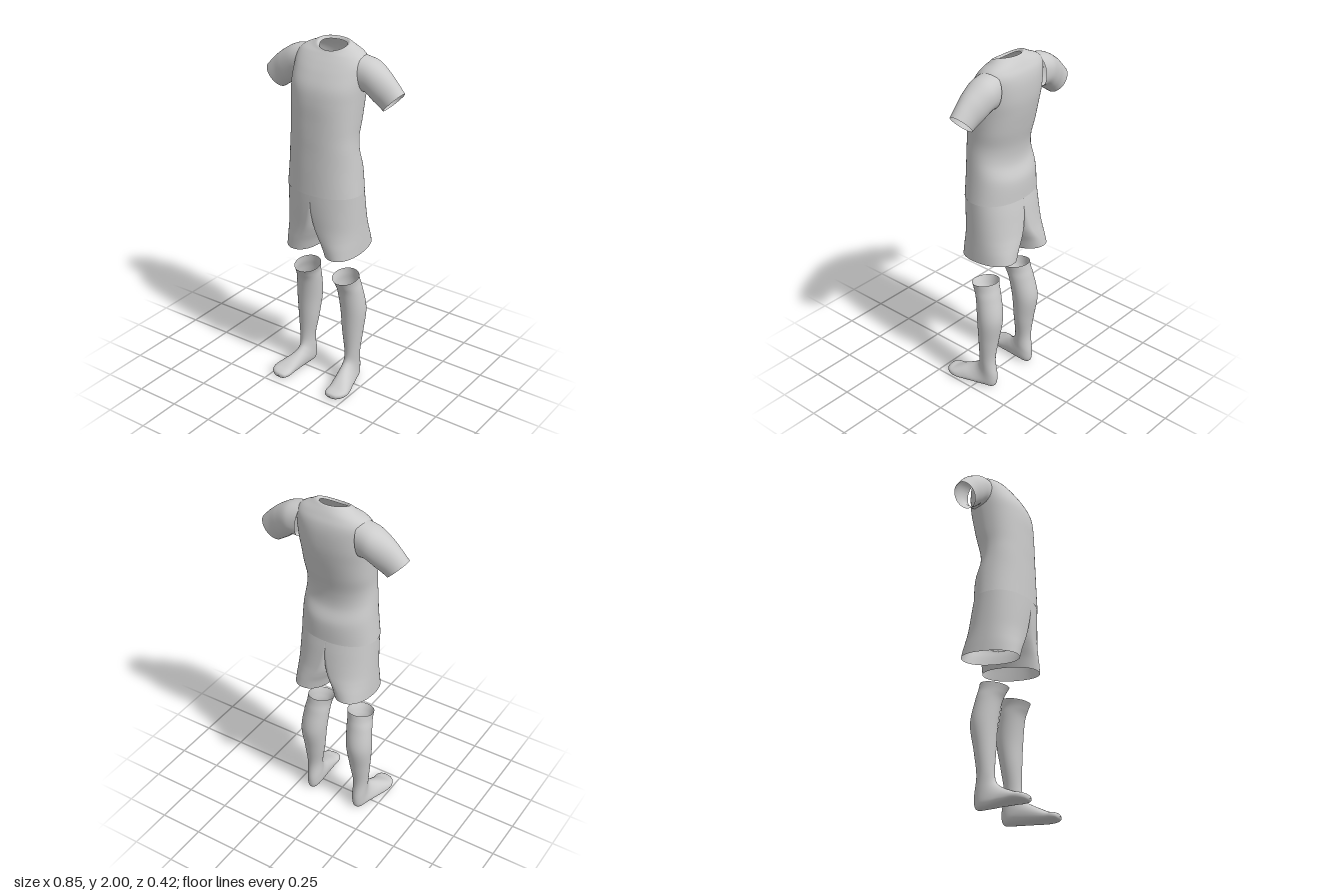
import * as THREE from 'three';

const material = new THREE.MeshStandardMaterial({ color: 0xcccccc, side: THREE.DoubleSide });

// Smooth interpolation through a list of key rows, u in 0..1
function sample(keys, u) {
  const f = u * (keys.length - 1);
  const i = Math.min(Math.floor(f), keys.length - 2);
  const t = f - i;
  const at = (k) => keys[Math.max(0, Math.min(keys.length - 1, k))];
  return keys[0].map((_, c) => {
    const a = at(i - 1)[c], b = at(i)[c], d = at(i + 1)[c], e = at(i + 2)[c];
    const m0 = (d - a) / 2, m1 = (e - b) / 2;
    return b + m0 * t + (3 * (d - b) - 2 * m0 - m1) * t * t + (2 * (b - d) + m0 + m1) * t * t * t;
  });
}

// Closed-ring surface from a point rule; faces can be left out with skip
function surface(name, rows, cols, point, skip = () => false) {
  const pts = [], index = [];
  for (let i = 0; i <= rows; i++)
    for (let j = 0; j < cols; j++) pts.push(point(i / rows, (j / cols) * Math.PI * 2));
  for (let i = 0; i < rows; i++)
    for (let j = 0; j < cols; j++) {
      const k = (j + 1) % cols;
      const a = i * cols + j, b = a + cols, c = i * cols + k, d = c + cols;
      if (!skip([pts[a], pts[b], pts[c], pts[d]])) index.push(a, b, c, b, d, c);
    }
  const geo = new THREE.BufferGeometry();
  geo.setAttribute('position', new THREE.Float32BufferAttribute(pts.flat(), 3));
  geo.setIndex(index);
  geo.computeVertexNormals();
  const mesh = new THREE.Mesh(geo, material);
  mesh.name = name;
  return mesh;
}

const power = (v, n) => Math.sign(v) * Math.abs(v) ** (2 / n);

// Ring between a point A (height, depth) and a point B, with cross centre,
// half width, roundness and a lift of its two sides
function ring([ay, ad, by, bd, centre, half, n, lift], t) {
  const s = power(Math.sin(t), n), c = power(Math.cos(t), n);
  const w = (1 + s) / 2;
  return {
    y: by + (ay - by) * w + lift * c * c,
    depth: bd + (ad - bd) * w,
    cross: centre + half * c,
  };
}

// Shirt body from hem to collar
const shirtKeys = [
  [1.195, 0.145, 1.195, -0.168, 0, 0.221, 2.2, 0],
  [1.32, 0.142, 1.31, -0.165, 0, 0.208, 2.2, 0.02],
  [1.43, 0.138, 1.40, -0.135, 0, 0.198, 2.2, 0.03],
  [1.51, 0.136, 1.49, -0.136, 0, 0.194, 2.2, 0.02],
  [1.6, 0.132, 1.6, -0.16, 0, 0.197, 2.3, 0],
  [1.7, 0.127, 1.7, -0.181, 0, 0.202, 2.3, 0],
  [1.78, 0.112, 1.78, -0.192, 0, 0.206, 2.4, 0],
  [1.85, 0.078, 1.86, -0.193, 0, 0.208, 2.4, 0],
  [1.9, 0.045, 1.915, -0.184, 0, 0.205, 2.4, 0],
  [1.935, 0.018, 1.953, -0.166, 0, 0.183, 2.3, 0],
  [1.95, 0.006, 1.982, -0.148, 0.005, 0.13, 2.1, 0.005],
  [1.957, 0, 1.999, -0.132, 0.008, 0.093, 2, 0.01],
  [1.945, -0.008, 1.985, -0.118, 0.008, 0.078, 2, 0.01],
];

// Sleeve from shoulder to cuff
const sleeveKeys = [
  [1.945, 0.165, 1.75, 0.185, -0.085, 0.083, 2.2, 0],
  [1.927, 0.25, 1.752, 0.218, -0.088, 0.084, 2.2, 0],
  [1.882, 0.325, 1.715, 0.265, -0.083, 0.074, 2.1, 0],
  [1.835, 0.38, 1.692, 0.297, -0.08, 0.064, 2, 0],
  [1.785, 0.427, 1.675, 0.322, -0.078, 0.059, 2, 0],
];

// Sock from toe tip, along the foot, up to the open top
const sockKeys = [
  [0.022, 0.211, 0.018, 0.211, 0.18, 0.003, 2, 0],
  [0.036, 0.205, 0.004, 0.2, 0.182, 0.036, 2.3, 0],
  [0.045, 0.185, 0, 0.165, 0.188, 0.056, 2.5, 0],
  [0.052, 0.155, 0, 0.11, 0.191, 0.061, 2.5, 0],
  [0.073, 0.11, 0, 0.03, 0.178, 0.054, 2.4, 0],
  [0.095, 0.065, 0, -0.05, 0.163, 0.046, 2.3, 0],
  [0.117, 0.03, 0.008, -0.1, 0.156, 0.042, 2.2, 0],
  [0.145, 0.008, 0.07, -0.11, 0.155, 0.041, 2, 0],
  [0.2, 0, 0.18, -0.096, 0.157, 0.044, 2, 0],
  [0.32, 0.002, 0.31, -0.112, 0.153, 0.061, 2, 0],
  [0.45, 0.008, 0.46, -0.135, 0.151, 0.074, 2, 0],
  [0.57, 0.024, 0.59, -0.113, 0.141, 0.073, 2, 0],
  [0.625, 0.046, 0.65, -0.099, 0.135, 0.07, 2, 0],
  [0.66, 0.065, 0.69, -0.092, 0.13, 0.074, 2, 0],
];

// Shorts leg from hem to waist: y, tilt, front z, back z, leg share (0 hips, 1 leg)
const shortsKeys = [
  [0.845, 0.015, 0.125, -0.21, 1],
  [0.9, 0.012, 0.128, -0.205, 0.8],
  [0.95, 0.008, 0.13, -0.2, 0.55],
  [1.0, 0.004, 0.133, -0.194, 0.34],
  [1.07, 0, 0.138, -0.186, 0.18],
  [1.14, 0, 0.141, -0.177, 0.07],
  [1.2, 0, 0.142, -0.167, 0],
];

function shortsPoint(u, t) {
  const [y, tilt, front, back, k] = sample(shortsKeys, u);
  const c = power(Math.cos(t), 2.2), s = power(Math.sin(t), 2.2);
  const hip = c > 0 ? 0.219 * c : 0;
  const leg = 0.126 + 0.099 * c;
  const x = hip * (1 - k) + leg * k - (c < 0 ? 0.05 * (1 - k) * -c : 0);
  return [Math.max(0, x), y - tilt * s, (front + back) / 2 + s * (front - back) / 2];
}

export function createModel() {
  const model = new THREE.Group();
  model.name = 'sportsOutfit';

  model.add(surface('shirtBody', 72, 64, (u, t) => {
    const p = ring(sample(shirtKeys, u), t);
    return [p.cross, p.y, p.depth];
  }));

  // Paired parts, built on the left and mirrored
  const left = new THREE.Group();
  left.name = 'leftParts';
  left.add(
    surface('sleeve', 28, 40, (u, t) => {
      const p = ring(sample(sleeveKeys, u), t);
      return [p.depth, p.y, p.cross];
    }),
    // the centre plane stays open above the crotch
    surface('shortsLeg', 40, 64, shortsPoint, (q) => q.every((p) => p[0] < 1e-4)),
    surface('sock', 84, 40, (u, t) => {
      const p = ring(sample(sockKeys, u), t);
      return [p.cross, p.y, p.depth];
    }),
  );
  const right = left.clone();
  right.name = 'rightParts';
  right.scale.x = -1;
  model.add(left, right);
  return model;
}
